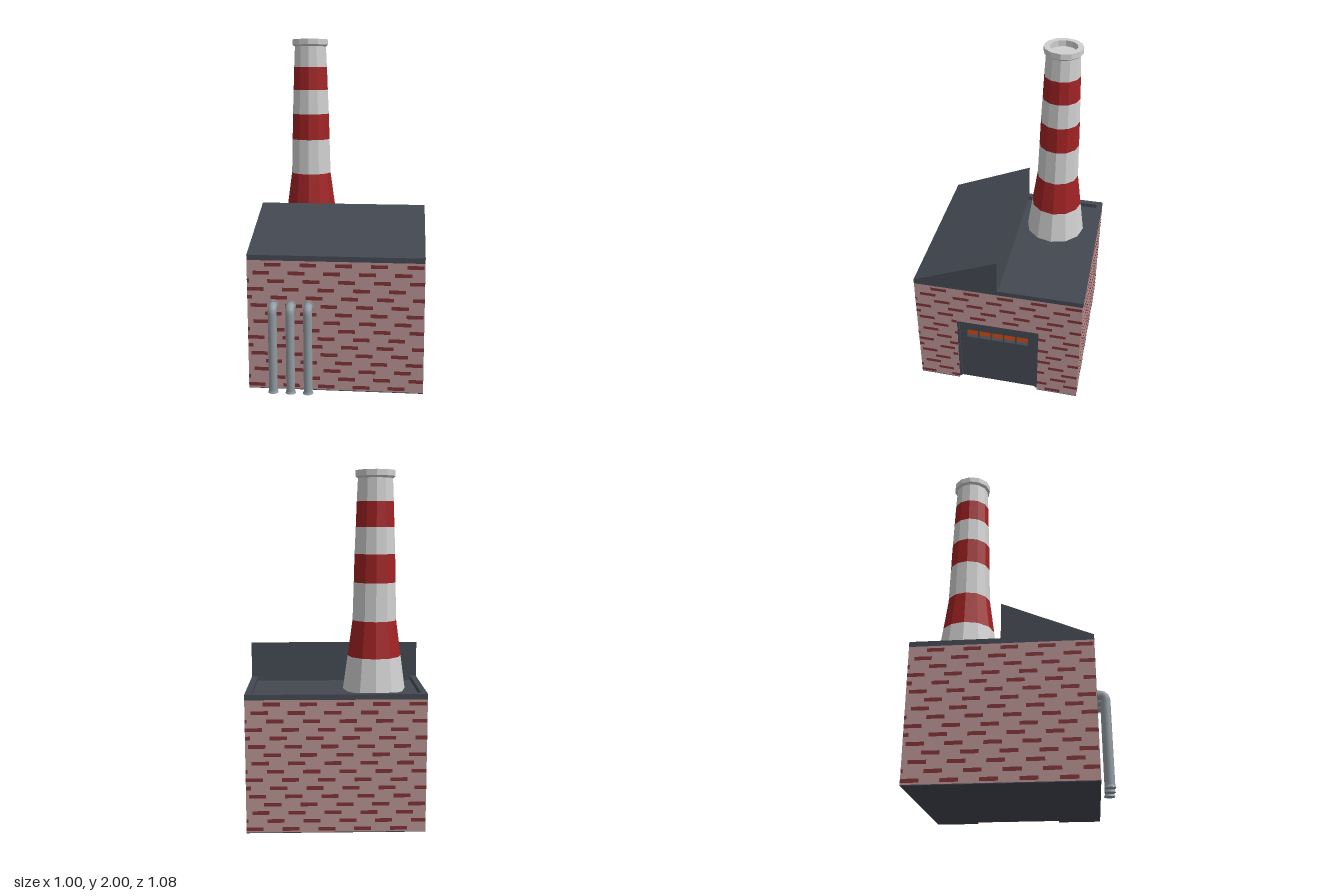
import * as THREE from 'three';
import { mergeGeometries } from 'three/addons/utils/BufferGeometryUtils.js';

const mat = (name, color) => {
  const m = new THREE.MeshStandardMaterial({ color });
  m.name = name;
  return m;
};

export function createModel() {
  const wallMat = mat('palePinkWall', 0xb59090);
  const brickMat = mat('redBrick', 0x7d3236);
  const slateMat = mat('darkSlate', 0x434851);
  const whiteMat = mat('chimneyWhite', 0xd0d0d0);
  const redMat = mat('chimneyRed', 0xa02224);
  const pipeMat = mat('pipeGrey', 0x929ca2);
  const glowMat = mat('furnaceOrange', 0xd04a12);

  const model = new THREE.Group();
  model.name = 'factory';
  const building = new THREE.Group();
  building.name = 'building';
  building.position.z = -0.04;
  model.add(building);

  const add = (name, geo, material, parent = building) => {
    const mesh = new THREE.Mesh(geo, material);
    mesh.name = name;
    parent.add(mesh);
    return mesh;
  };
  // Box given by its limits on each axis
  const box = (x0, x1, y0, y1, z0, z1) =>
    new THREE.BoxGeometry(x1 - x0, y1 - y0, z1 - z0)
      .translate((x0 + x1) / 2, (y0 + y1) / 2, (z0 + z1) / 2);
  // Outline in (-z, y), extruded along +x from x0
  const slab = (points, x0, depth, holes = []) => {
    const shape = new THREE.Shape(points.map(p => new THREE.Vector2(...p)));
    for (const h of holes) shape.holes.push(new THREE.Path(h.map(p => new THREE.Vector2(...p))));
    return new THREE.ExtrudeGeometry(shape, { depth, bevelEnabled: false })
      .rotateY(Math.PI / 2).translate(x0, 0, 0);
  };
  const rect = (u0, u1, y0, y1) => [[u0, y0], [u1, y0], [u1, y1], [u0, y1]];
  const faceted = geo => {
    const g = geo.toNonIndexed();
    g.computeVertexNormals();
    return g;
  };

  // Walls, with the doorway cut into the left-hand (+x) wall
  const top = 0.76, base = 0.004;
  add('walls', box(-0.5, 0.45, base, top, -0.5, 0.5), wallMat);
  add('doorWall', slab([[-0.5, base], [-0.25, base], [-0.25, 0.5], [0.25, 0.5],
    [0.25, base], [0.5, base], [0.5, top], [-0.5, top]], 0.45, 0.05), wallMat);
  add('floor', mergeGeometries([
    box(-0.5, 0.45, 0, base, -0.5, 0.5),
    box(0.45, 0.5, 0, base, -0.5, -0.25),
    box(0.45, 0.5, 0, base, 0.25, 0.5),
  ]), slateMat);

  // Painted bricks: staggered rows on all four walls
  const rows = 16, pitch = top / rows, period = 0.2, brickW = 0.095, brickH = 0.021;
  const brickWall = hasDoor => {
    const plates = [];
    const plate = (a, b, y) => {
      if (b - a > 0.012) plates.push(new THREE.PlaneGeometry(b - a, brickH).translate((a + b) / 2, y, 0.502));
    };
    for (let r = 0; r < rows; r++) {
      const y = (r + 0.5) * pitch;
      const shift = (r % 2) * 0.1 + (r % 3) * 0.017;
      for (let i = -1; i < 6; i++) {
        const u = -0.5 + shift + i * period;
        const a = Math.max(u, -0.5), b = Math.min(u + brickW, 0.5);
        if (hasDoor && y < 0.51) {
          plate(a, Math.min(b, -0.25), y);
          plate(Math.max(a, 0.25), b, y);
        } else plate(a, b, y);
      }
    }
    return mergeGeometries(plates);
  };
  ['front', 'left', 'back', 'right'].forEach((side, k) =>
    add(side + 'Bricks', brickWall(side === 'left').rotateY(k * Math.PI / 2), brickMat));

  // Shed roof, flat roof and its parapet
  add('shedRoof', slab([[-0.5, top], [0, top], [0, 1.0], [-0.5, 0.79]], -0.5, 1), slateMat);
  add('flatRoof', box(-0.465, 0.465, top, top + 0.004, -0.465, 0), slateMat);
  add('parapet', mergeGeometries([
    box(-0.5, 0.5, top, 0.79, -0.5, -0.465),
    box(-0.5, -0.465, top, 0.79, -0.465, 0),
    box(0.465, 0.5, top, 0.79, -0.465, 0),
  ]), slateMat);

  // Door with five window openings and a glow behind it
  const panes = [0, 1, 2, 3, 4].map(i => {
    const u = -0.193 + i * 0.077;
    return rect(u, u + 0.07, 0.37, 0.43);
  });
  add('door', slab(rect(-0.25, 0.25, 0.015, 0.5), 0.465, 0.023, panes), slateMat);
  add('doorFrame', mergeGeometries([
    box(0.465, 0.497, 0.015, 0.5, -0.25, -0.235),
    box(0.465, 0.497, 0.015, 0.5, 0.235, 0.25),
    box(0.465, 0.497, 0.485, 0.5, -0.235, 0.235),
  ]), slateMat);
  add('windowGlow', box(0.455, 0.464, 0.36, 0.44, -0.21, 0.21), glowMat);
  add('doorGapGlow', mergeGeometries([
    box(0.45, 0.455, 0, 0.015, -0.25, 0.25),
    box(0.455, 0.486, 0.012, 0.015, -0.25, 0.25),
  ]), glowMat);

  // Tapering twelve-sided chimney in alternating bands: [height, radius]
  const chimney = new THREE.Group();
  chimney.name = 'chimney';
  chimney.position.set(-0.225, 0, -0.225);
  building.add(chimney);
  const levels = [[0.76, 0.18], [0.96, 0.153], [1.165, 0.125], [1.38, 0.119],
    [1.54, 0.115], [1.69, 0.109], [1.83, 0.104], [1.957, 0.098]];
  for (let i = 0; i < levels.length - 1; i++) {
    const [y0, r0] = levels[i], [y1, r1] = levels[i + 1];
    const band = new THREE.CylinderGeometry(r1, r0, y1 - y0, 12, 1, true).translate(0, (y0 + y1) / 2, 0);
    add('chimneyBand' + (i + 1), faceted(band), i % 2 ? redMat : whiteMat, chimney);
  }
  const rim = [[0.096, 1.955], [0.112, 1.967], [0.112, 2], [0.08, 2], [0.08, 1.965], [0, 1.965]];
  add('chimneyRim', faceted(new THREE.LatheGeometry(rim.map(p => new THREE.Vector2(...p)), 12)), whiteMat, chimney);

  // Three bent pipes on the front wall with flanges at both ends
  const pipeZ = 0.547, bendY = 0.5;
  const path = new THREE.CurvePath();
  const v = (y, z) => new THREE.Vector3(0, y, z);
  path.add(new THREE.LineCurve3(v(0, pipeZ), v(bendY - 0.035, pipeZ)));
  path.add(new THREE.QuadraticBezierCurve3(v(bendY - 0.035, pipeZ), v(bendY, pipeZ), v(bendY, pipeZ - 0.03)));
  path.add(new THREE.LineCurve3(v(bendY, pipeZ - 0.03), v(bendY, 0.5)));
  for (const x of [-0.35, -0.25, -0.15]) {
    const pipe = new THREE.Group();
    pipe.name = 'pipe';
    pipe.position.x = x;
    building.add(pipe);
    add('pipeTube', new THREE.TubeGeometry(path, 60, 0.025, 12), pipeMat, pipe);
    add('groundFlange', new THREE.CylinderGeometry(0.026, 0.03, 0.012, 12).translate(0, 0.006, pipeZ), pipeMat, pipe);
    add('wallFlange', new THREE.CylinderGeometry(0.03, 0.03, 0.01, 12)
      .rotateX(Math.PI / 2).translate(0, bendY, 0.505), pipeMat, pipe);
  }
  return model;
}
